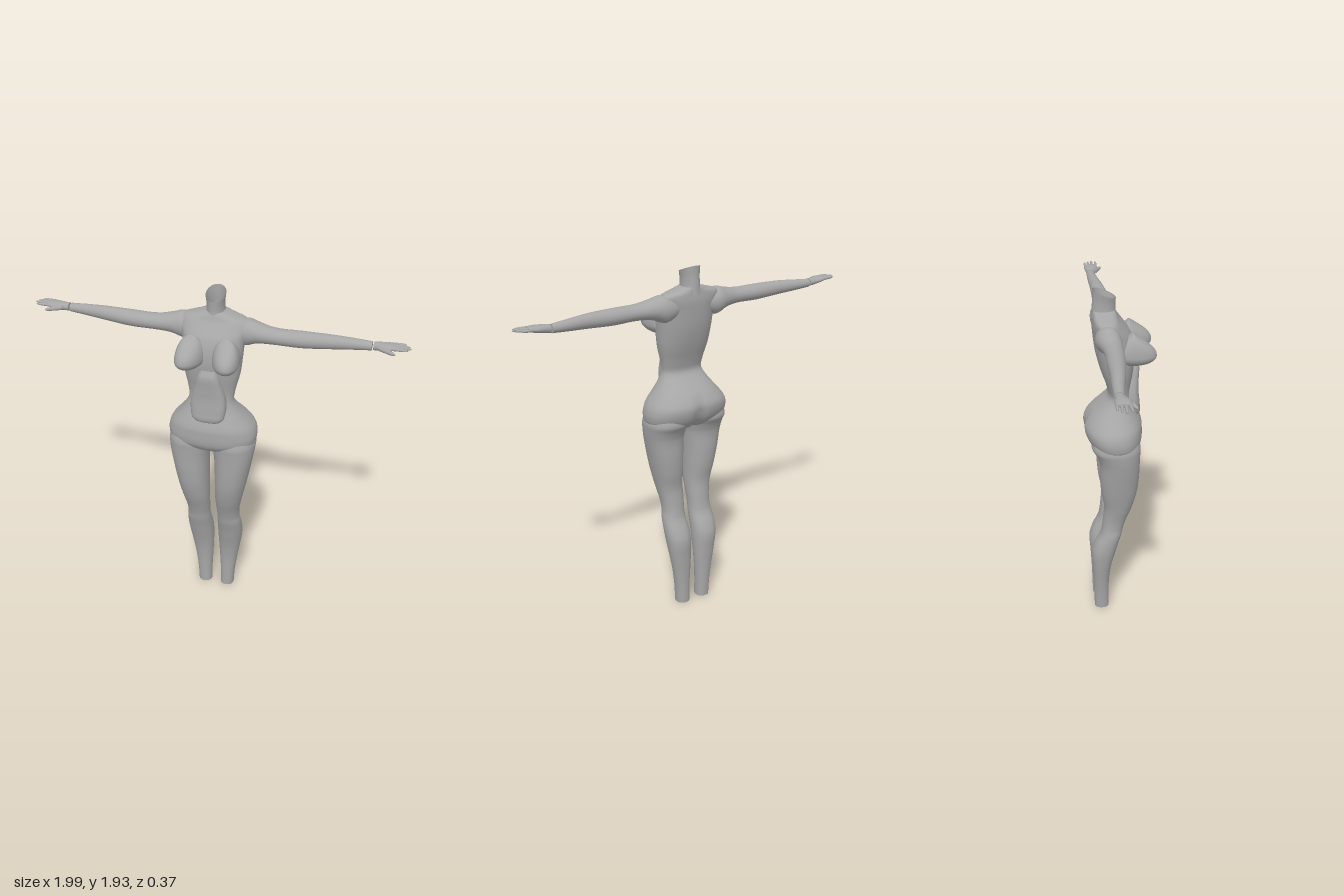
import * as THREE from 'three';

const grey = new THREE.MeshStandardMaterial({ color: 0xa6a6a6 });
grey.name = 'mannequin grey';
grey.side = THREE.DoubleSide;

// Smooth loft through sections [t, a0, a1, b0, b1] along y (a = x, b = z)
// or along x (a = y, b = z). The power p squares off the oval rings.
function loft(sections, { axis = 'y', sides = 32, steps = 4, p = 2, caps = true, warp = null } = {}) {
  const times = sections.map((s) => s[0]);
  const curve = new THREE.CubicInterpolant(times, sections.flatMap((s) => s.slice(1)), 4, new Float32Array(4));
  const pos = [], index = [], rings = [];
  for (let i = 0; i < times.length; i++) {
    const last = i === times.length - 1;
    for (let k = 0; k < (last ? 1 : steps); k++) {
      const t = last ? times[i] : THREE.MathUtils.lerp(times[i], times[i + 1], k / steps);
      const [a0, a1, b0, b1] = last ? sections[i].slice(1) : curve.evaluate(t);
      const ring = [];
      for (let j = 0; j < sides; j++) {
        const th = (j / sides) * Math.PI * 2;
        const c = Math.cos(th), s = Math.sin(th) * (axis === 'x' ? -1 : 1);
        const a = (a0 + a1) / 2 + ((a1 - a0) / 2) * Math.sign(c) * Math.abs(c) ** (2 / p);
        const b = (b0 + b1) / 2 + ((b1 - b0) / 2) * Math.sign(s) * Math.abs(s) ** (2 / p);
        const v = axis === 'x' ? new THREE.Vector3(t, a, b) : new THREE.Vector3(a, t, b);
        if (warp) warp(v);
        ring.push(v);
      }
      rings.push(ring);
    }
  }
  rings.forEach((r) => r.forEach((v) => pos.push(v.x, v.y, v.z)));
  for (let i = 0; i < rings.length - 1; i++) {
    for (let j = 0; j < sides; j++) {
      const n = (j + 1) % sides;
      const a = i * sides + j, b = i * sides + n, c = a + sides, d = b + sides;
      index.push(a, c, b, b, c, d);
    }
  }
  if (caps) {
    [rings[0], rings[rings.length - 1]].forEach((ring, end) => {
      const base = pos.length / 3;
      const mid = ring.reduce((m, v) => m.add(v), new THREE.Vector3()).divideScalar(sides);
      [mid, ...ring].forEach((v) => pos.push(v.x, v.y, v.z));
      for (let j = 0; j < sides; j++) {
        const a = base + 1 + j, b = base + 1 + ((j + 1) % sides);
        if (end) index.push(base, b, a);
        else index.push(base, a, b);
      }
    });
  }
  const g = new THREE.BufferGeometry();
  g.setAttribute('position', new THREE.Float32BufferAttribute(pos, 3));
  g.setIndex(index);
  g.computeVertexNormals();
  return g;
}

// Mirrored copy across x with the corner order put right
function mirrored(geometry) {
  const g = geometry.clone().scale(-1, 1, 1);
  const ix = g.index.array;
  for (let i = 0; i < ix.length; i += 3) [ix[i], ix[i + 1]] = [ix[i + 1], ix[i]];
  g.computeVertexNormals();
  return g;
}

export function createModel() {
  const model = new THREE.Group();
  model.name = 'mannequin';
  const add = (name, geometry) => {
    const mesh = new THREE.Mesh(geometry, grey);
    mesh.name = name;
    model.add(mesh);
  };
  const pair = (name, geometry) => {
    add('left ' + name, geometry);
    add('right ' + name, mirrored(geometry));
  };

  // Torso and hips: [y, half width, back z, front z]
  const torso = [
    [1.04, 0.06, -0.07, 0.05], [1.06, 0.14, -0.12, 0.09], [1.09, 0.225, -0.152, 0.115],
    [1.12, 0.24, -0.172, 0.124], [1.17, 0.236, -0.186, 0.125], [1.2, 0.222, -0.182, 0.123],
    [1.25, 0.182, -0.15, 0.105], [1.3, 0.145, -0.1, 0.083], [1.35, 0.121, -0.056, 0.068],
    [1.4, 0.125, -0.062, 0.064], [1.5, 0.148, -0.095, 0.078], [1.6, 0.158, -0.12, 0.085],
    [1.7, 0.166, -0.132, 0.062], [1.75, 0.178, -0.135, 0.026], [1.785, 0.165, -0.132, 0],
    [1.803, 0.105, -0.131, -0.008], [1.82, 0.05, -0.13, -0.016],
  ].map(([y, w, back, front]) => [y, -w, w, back, front]);
  add('torso', loft(torso, {
    sides: 56, p: 2.3,
    warp: (v) => {
      // shallow centre furrow low on the back
      const low = THREE.MathUtils.clamp((1.26 - v.y) / 0.1, 0, 1);
      if (v.z < 0) v.z += 0.022 * low * Math.exp(-((v.x / 0.025) ** 2));
    },
  }));

  // Raised belly panel
  add('belly', loft([
    [1.235, -0.045, 0.045, 0.02, 0.095], [1.25, -0.075, 0.075, 0.02, 0.112],
    [1.3, -0.093, 0.093, 0.02, 0.113], [1.38, -0.09, 0.09, 0.02, 0.106],
    [1.45, -0.072, 0.072, 0.02, 0.108], [1.51, -0.055, 0.055, 0.02, 0.11],
    [1.54, -0.04, 0.04, 0.02, 0.098],
  ], { p: 3 }));

  // Neck, open at its slanted top
  add('neck', loft([
    [1.78, -0.056, 0.056, -0.138, -0.006], [1.82, -0.048, 0.048, -0.134, -0.012],
    [1.86, -0.047, 0.047, -0.13, -0.012], [1.9, -0.052, 0.052, -0.13, -0.01],
  ], {
    caps: false,
    warp: (v) => {
      const k = THREE.MathUtils.clamp((v.y - 1.8) / 0.1, 0, 1);
      v.y += k * (-0.018 - (v.z + 0.01) * 0.4);
    },
  }));

  // Bust: a sphere drawn up and flattened towards the collar
  const bust = new THREE.SphereGeometry(1, 32, 24);
  const bp = bust.attributes.position;
  for (let i = 0; i < bp.count; i++) {
    const y = bp.getY(i), up = Math.max(y, 0);
    bp.setXYZ(i,
      0.092 + bp.getX(i) * 0.072 + Math.max(bp.getZ(i), 0) * 0.018,
      1.607 + y * (y > 0 ? 0.12 : 0.057),
      0.068 + bp.getZ(i) * 0.12 * (1 - 0.9 * up * up));
  }
  bust.computeVertexNormals();
  pair('bust', bust);

  // Upper and lower legs in one sweep: [y, inner x, outer x, back z, front z]
  pair('leg', loft([
    [0, 0.028, 0.106, -0.144, -0.062], [0.1, 0.028, 0.112, -0.146, -0.062],
    [0.2, 0.023, 0.125, -0.149, -0.06], [0.3, 0.018, 0.142, -0.154, -0.047],
    [0.4, 0.016, 0.156, -0.157, -0.022], [0.46, 0.018, 0.158, -0.138, -0.006],
    [0.52, 0.022, 0.155, -0.108, 0.012], [0.56, 0.024, 0.149, -0.099, 0.02],
    [0.62, 0.022, 0.152, -0.092, 0.038], [0.7, 0.02, 0.168, -0.086, 0.067],
    [0.8, 0.02, 0.19, -0.102, 0.092], [0.9, 0.02, 0.21, -0.11, 0.102],
    [1, 0.015, 0.228, -0.113, 0.105], [1.05, 0.006, 0.235, -0.13, 0.107],
    [1.09, 0.002, 0.237, -0.152, 0.108], [1.15, 0.02, 0.215, -0.14, 0.09],
  ], { p: 2.2 }));

  // Arms: [x, bottom y, top y, back z, front z]
  pair('arm', loft([
    [0.09, 1.67, 1.77, -0.12, -0.02], [0.15, 1.645, 1.786, -0.131, -0.003],
    [0.18, 1.65, 1.79, -0.13, 0], [0.22, 1.667, 1.779, -0.12, 0],
    [0.3, 1.677, 1.763, -0.1, -0.002], [0.45, 1.676, 1.762, -0.098, -0.008],
    [0.6, 1.686, 1.76, -0.097, -0.025], [0.7, 1.693, 1.753, -0.1, -0.04],
    [0.8, 1.7, 1.745, -0.1, -0.052],
  ], { axis: 'x', sides: 24 }));

  // Hands, parted from the wrists by a narrow gap
  pair('palm', loft([
    [0.808, 1.703, 1.746, -0.098, -0.052], [0.835, 1.706, 1.748, -0.1, -0.045],
    [0.87, 1.712, 1.75, -0.106, -0.03], [0.9, 1.72, 1.749, -0.106, -0.03],
    [0.92, 1.728, 1.746, -0.1, -0.036],
  ], { axis: 'x', sides: 20 }));
  const digit = (x0, x1, y0, y1, z0, z1, r) => loft([0, 0.5, 0.88, 1].map((k, i) => {
    const y = THREE.MathUtils.lerp(y0, y1, k), z = THREE.MathUtils.lerp(z0, z1, k);
    const w = r * [1, 0.9, 0.65, 0.15][i];
    return [THREE.MathUtils.lerp(x0, x1, k), y - w, y + w, z - w, z + w];
  }), { axis: 'x', sides: 10, steps: 2 });
  [[-0.097, -0.1, 0.965], [-0.078, -0.08, 0.985], [-0.059, -0.06, 0.995], [-0.04, -0.036, 0.98]]
    .forEach(([z0, z1, tip], i) => pair('finger ' + (i + 1), digit(0.895, tip, 1.736, 1.738, z0, z1, 0.0085)));
  pair('thumb', digit(0.835, 0.922, 1.726, 1.722, -0.052, -0.01, 0.013));

  return model;
}
